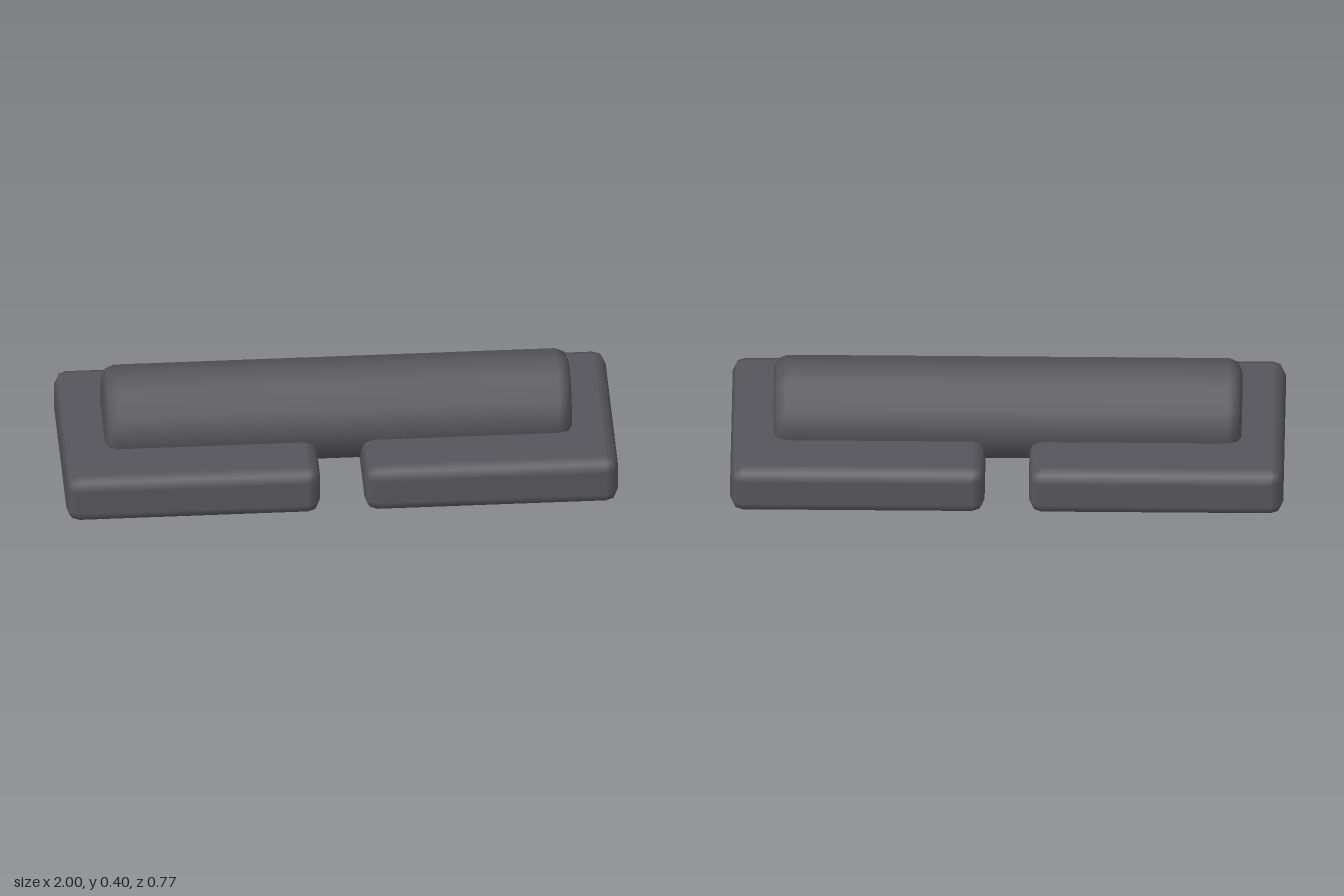
import * as THREE from 'three';
import { RoundedBoxGeometry } from 'three/addons/geometries/RoundedBoxGeometry.js';

const BEVEL = 0.046;

// Twelve-sided bar along x with bevelled rims
function barGeometry(radius, halfLength) {
  const rIn = radius - BEVEL, hIn = halfLength - BEVEL, d = BEVEL * Math.SQRT1_2;
  const half = [[radius, hIn], [rIn + d, hIn + d], [rIn, halfLength], [0, halfLength]];
  const profile = [...half.map(([r, y]) => [r, -y]).reverse(), ...half]
    .map(([r, y]) => new THREE.Vector2(r, y));
  const geo = new THREE.LatheGeometry(profile, 12);

  // Normals point away from the inner core, so caps stay flat and the rim is smooth
  const pos = geo.attributes.position, n = new THREE.Vector3();
  for (let i = 0; i < pos.count; i++) {
    const x = pos.getX(i), y = pos.getY(i), z = pos.getZ(i);
    const r = Math.hypot(x, z) || 1;
    const out = Math.max(r - rIn, 0) * (Math.hypot(x, z) > 0 ? 1 : 0);
    const along = Math.sign(y) * Math.max(Math.abs(y) - hIn, 0);
    n.set((x / r) * out, along, (z / r) * out).normalize();
    geo.attributes.normal.setXYZ(i, n.x, n.y, n.z);
  }
  return geo.rotateZ(Math.PI / 2);
}

export function createModel() {
  const group = new THREE.Group();
  const material = new THREE.MeshStandardMaterial({ color: 0x55555b });

  // Two flat base slabs with a gap between them
  for (const [name, side] of [['leftSlab', 1], ['rightSlab', -1]]) {
    const slab = new THREE.Mesh(new RoundedBoxGeometry(0.92, 0.184, 0.768, 1, BEVEL), material);
    slab.name = name;
    slab.position.set(side * 0.54, 0.092, 0);
    group.add(slab);
  }

  // Bar sunk into both slabs and bridging the gap
  const bar = new THREE.Mesh(barGeometry(0.184, 0.846), material);
  bar.name = 'crossBar';
  bar.position.y = 0.216;
  group.add(bar);

  return group;
}
